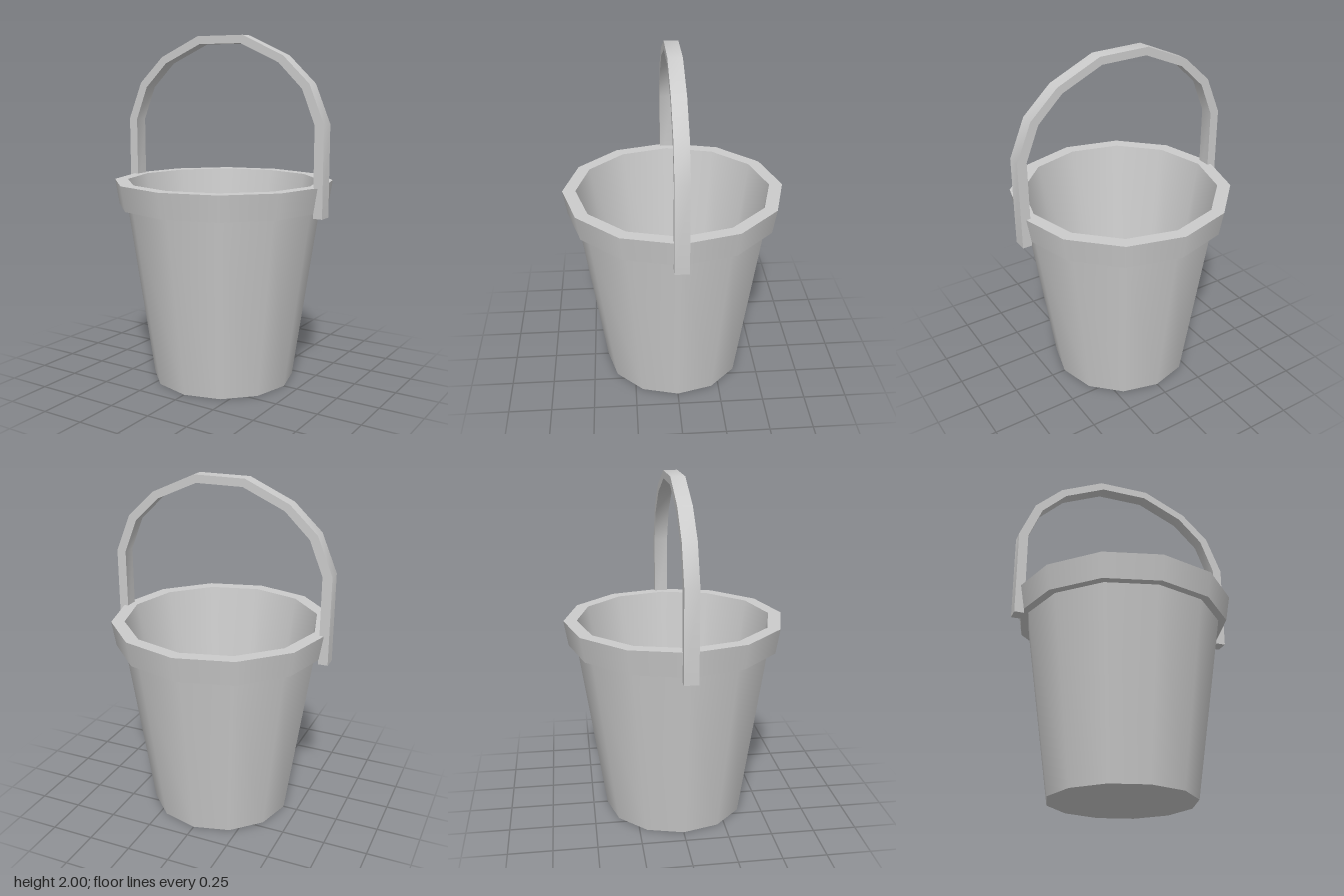
import * as THREE from 'three';
import { toCreasedNormals } from 'three/addons/utils/BufferGeometryUtils.js';

const SIDES = 12;
const material = new THREE.MeshStandardMaterial({ color: 0xcccccc });

// One smooth band per pair of [radius, height] points, with sharp edges between bands
function turned(name, profile) {
  const group = new THREE.Group();
  group.name = name;
  for (let i = 0; i < profile.length - 1; i++) {
    const points = [profile[i], profile[i + 1]].map(([r, y]) => new THREE.Vector2(r, y));
    const band = new THREE.Mesh(new THREE.LatheGeometry(points, SIDES), material);
    band.name = `${name}Band${i + 1}`;
    group.add(band);
  }
  return group;
}

// Flat strap bent into an arch, mirrored about x = 0
function createHandle() {
  const outer = [[0.655, 1.01], [0.655, 1.52], [0.565, 1.735], [0.405, 1.885], [0.15, 2]];
  const inner = [[0.6, 1.01], [0.6, 1.515], [0.522, 1.708], [0.377, 1.848], [0.137, 1.955]];
  const mirrored = (half) => half.map(([x, y]) => [-x, y]).reverse();
  const outline = [...outer, ...mirrored(outer), ...[...inner, ...mirrored(inner)].reverse()];
  const shape = new THREE.Shape(outline.map(([x, y]) => new THREE.Vector2(x, y)));
  const strap = new THREE.ExtrudeGeometry(shape, { depth: 0.08, bevelEnabled: false });
  strap.translate(0, 0, -0.04);
  const handle = new THREE.Mesh(toCreasedNormals(strap, 0.6), material);
  handle.name = 'handle';
  return handle;
}

export function createModel() {
  const bucket = new THREE.Group();
  bucket.name = 'bucket';
  bucket.add(
    // Underside and tapered outer wall
    turned('body', [[0, 0], [0.415, 0], [0.566, 1.035]]),
    // Flared collar: underside, outer face, top
    turned('rim', [[0.566, 1.035], [0.612, 1.035], [0.636, 1.18], [0.56, 1.18]]),
    // Inner wall and floor
    turned('interior', [[0.56, 1.18], [0.375, 0.03], [0, 0.03]]),
    createHandle()
  );
  return bucket;
}
